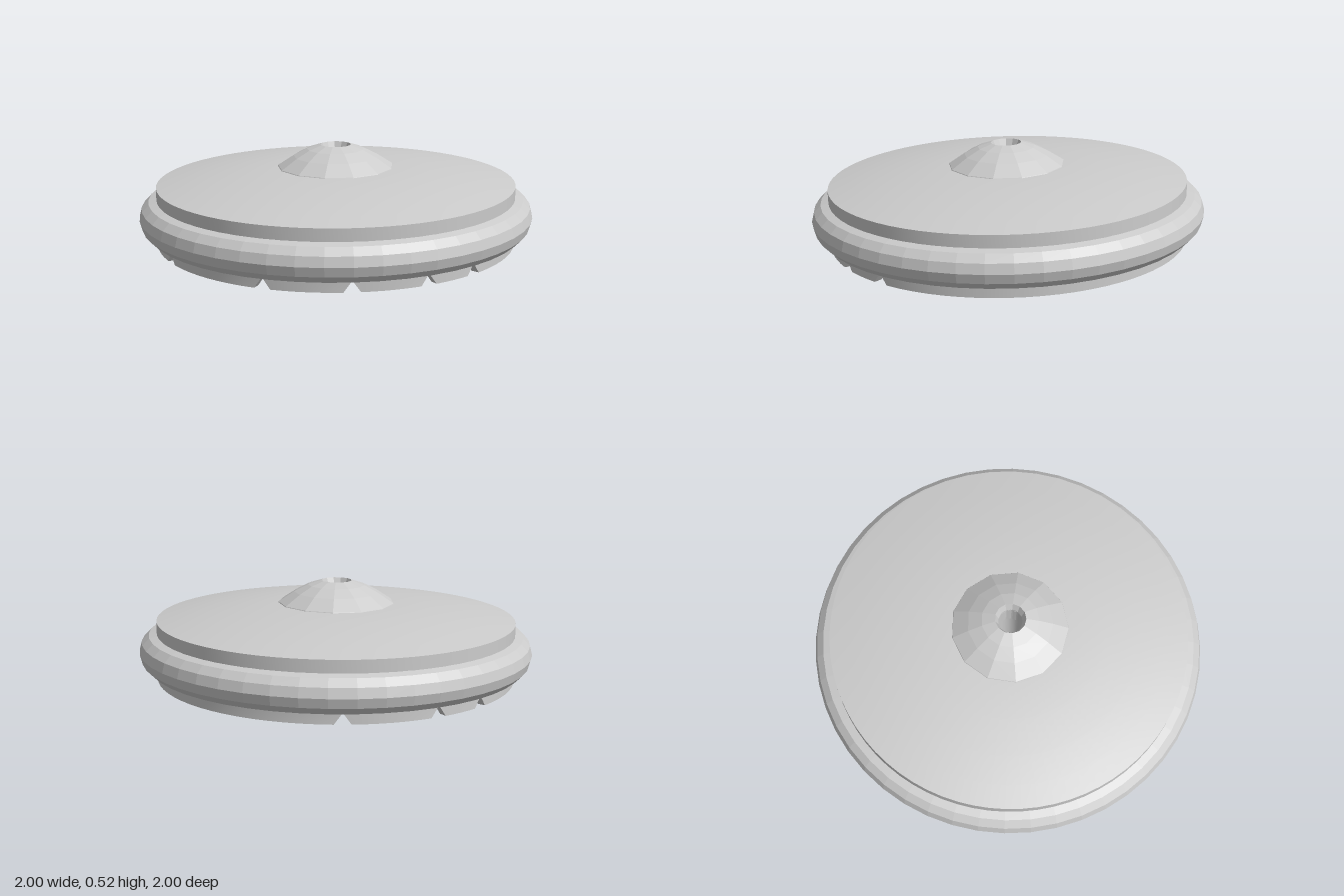
import * as THREE from 'three';
import { toCreasedNormals } from 'three/addons/utils/BufferGeometryUtils.js';

const RAD = Math.PI / 180;
const WALL_OUT = 0.912, WALL_IN = 0.87;
const SKIRT_BOTTOM = 0.025, SKIRT_TOP = 0.08;

const smooth = new THREE.MeshStandardMaterial({ color: 0xcccccc });
const faceted = new THREE.MeshStandardMaterial({ color: 0xcccccc, flatShading: true });

function add(parent, name, geometry, material) {
  const mesh = new THREE.Mesh(geometry, material);
  mesh.name = name;
  parent.add(mesh);
  return mesh;
}

function lathe(profile, sides) {
  return new THREE.LatheGeometry(profile.map(([r, y]) => new THREE.Vector2(r, y)), sides);
}

// Curved piece of skirt from angle a0 to a1, with ends sloping in towards the bottom
function skirtPiece(a0, a1, slope) {
  const steps = Math.max(2, Math.ceil((a1 - a0) / (5 * RAD)));
  const geo = new THREE.BoxGeometry(1, 1, 1, steps, 1, 1);
  const p = geo.attributes.position;
  for (let i = 0; i < p.count; i++) {
    const up = p.getY(i) > 0;
    const inset = up ? 0 : slope;
    const a = THREE.MathUtils.lerp(a0 + inset, a1 - inset, p.getX(i) + 0.5);
    const r = p.getZ(i) > 0 ? WALL_OUT : WALL_IN;
    p.setXYZ(i, r * Math.sin(a), up ? SKIRT_TOP : SKIRT_BOTTOM, r * Math.cos(a));
  }
  return toCreasedNormals(geo, 0.5);
}

export function createModel() {
  const root = new THREE.Group();
  root.name = 'discCap';
  // The whole cap leans slightly forward
  const cap = new THREE.Group();
  cap.name = 'tiltedCap';
  cap.rotation.x = 0.0275;
  root.add(cap);

  // Hollow shell: ceiling, inner wall, outer wall, gently domed top
  const shell = lathe([
    [0.07, 0.36], [0.4, 0.345], [0.65, 0.32], [WALL_IN, 0.28],
    [WALL_IN, SKIRT_TOP], [WALL_OUT, SKIRT_TOP], [WALL_OUT, 0.322],
    [0.8, 0.344], [0.66, 0.367], [0.48, 0.389], [0.3, 0.402], [0.07, 0.405],
  ], 72);
  add(cap, 'shell', toCreasedNormals(shell, 0.5), smooth);

  // Rounded bumper ring around the wall
  const ring = new THREE.TorusGeometry(0.905, 0.095, 12, 48);
  ring.rotateX(Math.PI / 2);
  ring.translate(0, 0.167, 0);
  add(cap, 'bumperRing', ring, faceted);

  // Lower skirt, broken by V-shaped notches at uneven angles
  const notches = [-161, -132, -115, -50, -11, 15, 38, 55];
  const skirt = new THREE.Group();
  skirt.name = 'notchedSkirt';
  cap.add(skirt);
  notches.forEach((a, i) => {
    const next = i + 1 < notches.length ? notches[i + 1] : notches[0] + 360;
    add(skirt, 'skirtPiece', skirtPiece(a * RAD, next * RAD, 2.5 * RAD), smooth);
  });

  // Faceted knob on top, open in the middle
  const knob = lathe([
    [0.305, 0.385], [0.295, 0.405], [0.215, 0.457], [0.145, 0.493],
    [0.078, 0.515], [0.06, 0.47], [0.06, 0.36],
  ], 13);
  add(cap, 'knob', knob, faceted);

  // Hollow hub below the ceiling
  const hub = lathe([[0.06, 0.48], [0.06, 0.145], [0.1, 0.145], [0.1, 0.37]], 16);
  add(cap, 'hub', toCreasedNormals(hub, 0.5), smooth);

  // Six ribs from the hub towards the wall
  const side = new THREE.Shape([
    [0.08, 0.145], [0.84, 0.145], [0.84, 0.3], [0.45, 0.36], [0.08, 0.375],
  ].map(([x, y]) => new THREE.Vector2(x, y)));
  const rib = new THREE.ExtrudeGeometry(side, { depth: 0.06, bevelEnabled: false });
  rib.translate(0, 0, -0.03);
  for (let i = 0; i < 6; i++) {
    add(cap, 'rib', rib, smooth).rotation.y = (38 + 60 * i - 90) * RAD;
  }

  return root;
}
